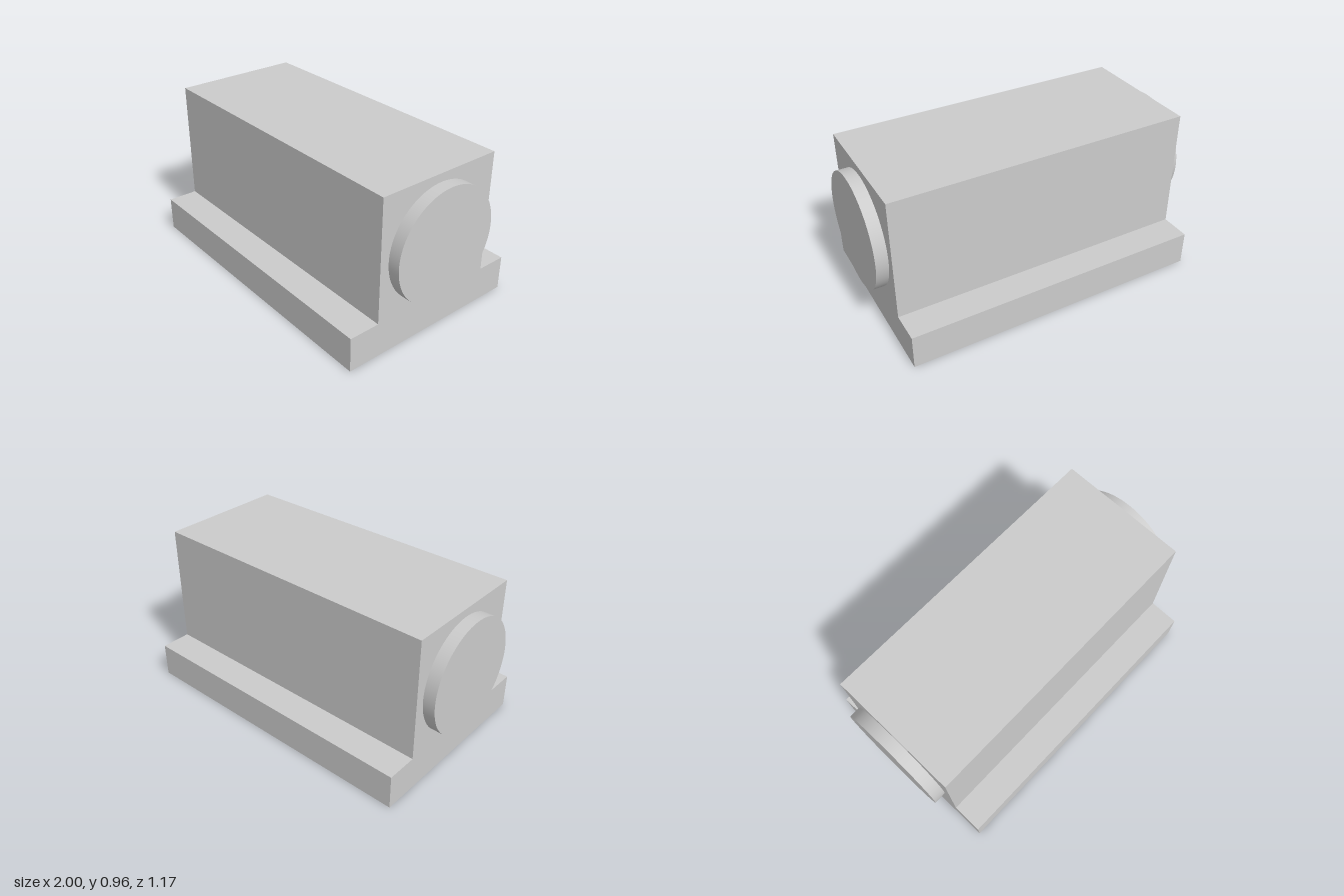
import * as THREE from 'three';

export function createModel() {
  const model = new THREE.Group();
  const material = new THREE.MeshStandardMaterial({ color: 0xcccccc });

  const halfLength = 0.927;
  const baseHalf = 0.587, baseTop = 0.213;
  const blockHalf = 0.4, blockTop = 0.963;

  // Housing: one inverted-T profile swept along x
  const profile = new THREE.Shape([
    [-baseHalf, 0], [baseHalf, 0], [baseHalf, baseTop], [blockHalf, baseTop],
    [blockHalf, blockTop], [-blockHalf, blockTop], [-blockHalf, baseTop], [-baseHalf, baseTop],
  ].map(([x, y]) => new THREE.Vector2(x, y)));
  const housingGeometry = new THREE.ExtrudeGeometry(profile, { depth: 2 * halfLength, bevelEnabled: false });
  housingGeometry.translate(0, 0, -halfLength).rotateY(Math.PI / 2);
  const housing = new THREE.Mesh(housingGeometry, material);
  housing.name = 'housing';
  model.add(housing);

  // Round end caps, slightly sunk into the housing
  const sink = 0.01;
  const capDepth = 1 - halfLength + sink;
  const capGeometry = new THREE.CylinderGeometry(0.345, 0.345, capDepth, 96).rotateZ(-Math.PI / 2);
  for (const [name, side] of [['leftEndCap', 1], ['rightEndCap', -1]]) {
    const cap = new THREE.Mesh(capGeometry, material);
    cap.name = name;
    cap.position.set(side * (1 - capDepth / 2), 0.568, 0);
    model.add(cap);
  }

  return model;
}
